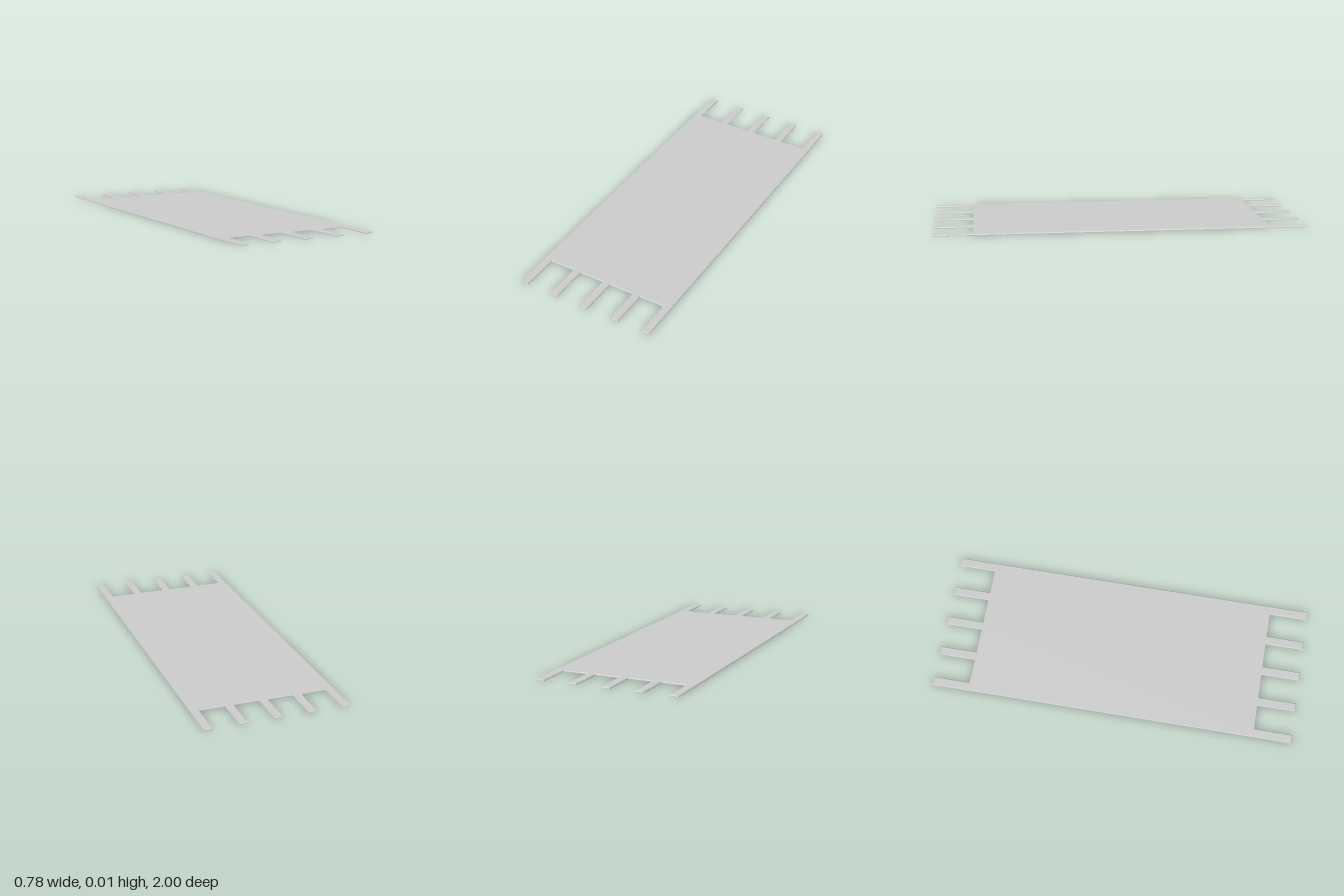
import * as THREE from 'three';
import { mergeGeometries } from 'three/addons/utils/BufferGeometryUtils.js';

// x ranges of the five prongs at each end
const PRONGS = [[-0.388, -0.341], [-0.206, -0.159], [-0.0235, 0.0235], [0.159, 0.206], [0.341, 0.388]];
const TIP = 1, BACK_ROOT = 0.8, FRONT_ROOT = 0.792;

// Counter-clockwise outline of the plate, shrunk by e
function outline(e) {
  const end = (prongs, sign, root) => prongs.flatMap(([a, b], i) => {
    const l = a + e, r = b - e, tip = sign * (TIP - e), r0 = sign * (root - e);
    const pts = [[l, tip], [r, tip]];
    if (i > 0) pts.unshift([l, r0]);
    if (i < prongs.length - 1) pts.push([r, r0]);
    return pts;
  });
  return [...end(PRONGS, -1, FRONT_ROOT), ...end(PRONGS, 1, BACK_ROOT).reverse()]
    .map(([x, y]) => new THREE.Vector2(x, y));
}

// Flat cap at a given height
function cap(e, height, flip) {
  const g = new THREE.ShapeGeometry(new THREE.Shape(outline(e)));
  if (flip) g.rotateY(Math.PI); // outline is mirror-symmetric in x
  return g.translate(0, 0, height).toNonIndexed();
}

// Band of walls between two outlines
function band(e0, h0, e1, h1) {
  const lo = outline(e0), hi = outline(e1), pos = [], uv = [];
  lo.forEach((p, i) => {
    const j = (i + 1) % lo.length;
    const a = [p.x, p.y, h0], b = [lo[j].x, lo[j].y, h0];
    const c = [hi[j].x, hi[j].y, h1], d = [hi[i].x, hi[i].y, h1];
    pos.push(...a, ...b, ...c, ...a, ...c, ...d);
    uv.push(0, 0, 1, 0, 1, 1, 0, 0, 1, 1, 0, 1);
  });
  const g = new THREE.BufferGeometry();
  g.setAttribute('position', new THREE.Float32BufferAttribute(pos, 3));
  g.setAttribute('uv', new THREE.Float32BufferAttribute(uv, 2));
  g.computeVertexNormals();
  return g;
}

export function createModel() {
  const group = new THREE.Group();
  group.name = 'prongedPlate';

  // Thin plate with a short vertical edge and a chamfered top rim
  const geometry = mergeGeometries([
    cap(0, 0, true),
    band(0, 0, 0, 0.003),
    band(0, 0.003, 0.004, 0.008),
    cap(0.004, 0.008, false),
  ]);
  geometry.rotateX(-Math.PI / 2);

  const plate = new THREE.Mesh(geometry, new THREE.MeshStandardMaterial({ color: 0xcccccc, flatShading: true }));
  plate.name = 'plate';
  group.add(plate);
  return group;
}
